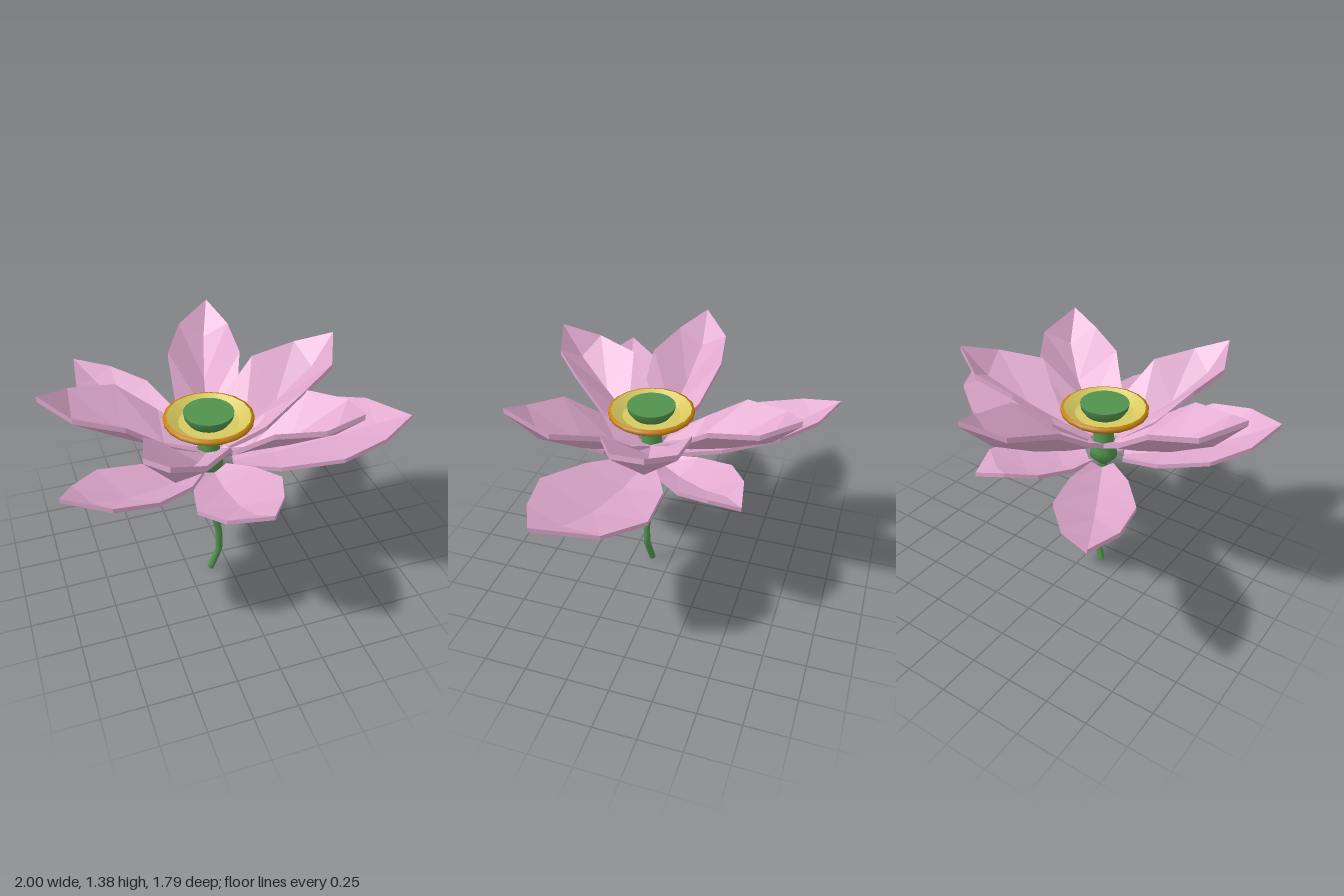
import * as THREE from 'three';

const CX = -0.115, CZ = 0.115; // flower axis

function mat(name, color, flat = false) {
  const m = new THREE.MeshStandardMaterial({ color, flatShading: flat });
  m.name = name;
  return m;
}

// Cross-sections: fraction of length, fraction of half width, edge height, keel height
const UPPER = [
  [0.08, 0.4, 0.95, 0.92],
  [0.28, 0.84, 1.075, 0.97],
  [0.53, 1.0, 1.24, 1.06],
  [0.82, 0.7, 1.29, 1.2],
];
const LOWER = [
  [0.12, 0.3, 0.84, 0.805],
  [0.33, 0.75, 0.89, 0.82],
  [0.62, 1.0, 0.965, 0.88],
  [0.84, 0.66, 1.0, 0.96],
];

// Cupped, keeled petal with a thin rim. lift raises the outer part, roll tips it sideways.
function petalGeometry(sections, thickness, { tip, width, bend = 0, lift = 0, roll = 0 }) {
  const dx = tip[0] - CX, dz = tip[2] - CZ;
  const len = Math.hypot(dx, dz), c = dx / len, s = dz / len;
  const top = [];
  for (const [t, w, edgeY, keelY] of sections) {
    for (const side of [-1, 0, 1]) {
      const across = side * w * width + bend * Math.min(1, t * 2);
      const y = (side ? edgeY : keelY) + lift * t + roll * side * w;
      top.push([CX + c * t * len - s * across, y, CZ + s * t * len + c * across]);
    }
  }
  top.push(tip);
  const n = top.length, last = n - 1;
  const points = [...top, ...top.map(([x, y, z]) => [x, y - thickness, z])];
  const index = [];
  const tri = (a, b, d) => index.push(a, d, b);
  const both = (a, b, d) => { tri(a, b, d); tri(a + n, d + n, b + n); };
  for (let i = 0; i < sections.length - 1; i++) {
    const a = i * 3;
    // diagonals run from the keel outwards
    both(a, a + 1, a + 3);
    both(a + 1, a + 4, a + 3);
    both(a + 1, a + 2, a + 5);
    both(a + 1, a + 5, a + 4);
  }
  both(last - 3, last - 2, last);
  both(last - 2, last - 1, last);
  // rim wall around the outline
  const loop = [];
  for (let i = 0; i < sections.length; i++) loop.push(i * 3);
  loop.push(last);
  for (let i = sections.length - 1; i >= 0; i--) loop.push(i * 3 + 2);
  loop.push(1);
  loop.forEach((a, i) => {
    const b = loop[(i + 1) % loop.length];
    tri(a, b, b + n);
    tri(a, b + n, a + n);
  });
  const g = new THREE.BufferGeometry();
  g.setAttribute('position', new THREE.Float32BufferAttribute(points.flat(), 3));
  g.setIndex(index);
  const flat = g.toNonIndexed();
  flat.computeVertexNormals();
  return flat;
}

export function createModel() {
  const root = new THREE.Group();
  root.name = 'waterFlower';
  const pink = mat('petalPink', 0xdfa8cd, true);
  const green = mat('stemGreen', 0x51924d);
  const yellow = mat('bowlYellow', 0xd6c860);
  const orange = mat('rimOrange', 0xc8820f);
  pink.side = yellow.side = THREE.DoubleSide;

  const add = (parent, name, geometry, material, x = 0, y = 0, z = 0) => {
    const m = new THREE.Mesh(geometry, material);
    m.name = name;
    m.position.set(x, y, z);
    parent.add(m);
  };
  const lathe = (pts, sides = 20) =>
    new THREE.LatheGeometry(pts.map(([r, y]) => new THREE.Vector2(r, y)), sides);
  const petalRing = (name, sections, thickness, petals) => {
    const ring = new THREE.Group();
    ring.name = `${name}s`;
    root.add(ring);
    petals.forEach((p, i) => add(ring, `${name}${i + 1}`, petalGeometry(sections, thickness, p), pink));
  };

  // Upper ring of petals
  petalRing('upperPetal', UPPER, 0.032, [
    { tip: [0.16, 1.37, -0.78], width: 0.21, bend: -0.02 },
    { tip: [0.72, 1.37, -0.13], width: 0.24, bend: 0.01 },
    { tip: [0.5, 1.37, 0.71], width: 0.235, bend: -0.06 },
    { tip: [-0.52, 1.37, 0.82], width: 0.22, bend: 0.02 },
    { tip: [-1, 1.37, 0.03], width: 0.22, bend: 0.03 },
  ]);

  // Lower, flatter ring of petals
  petalRing('lowerPetal', LOWER, 0.026, [
    { tip: [-0.68, 1.04, -0.9], width: 0.21 },
    { tip: [0.31, 0.87, -0.53], width: 0.2, lift: -0.1 },
    { tip: [1, 1.05, 0.37], width: 0.34, bend: -0.07, roll: 0.01 },
    { tip: [-0.03, 1.01, 0.89], width: 0.24, bend: 0.04, lift: -0.03, roll: -0.03 },
    { tip: [-1, 1.1, 0.54], width: 0.26, bend: -0.035, lift: 0.05, roll: -0.04 },
  ]);

  // Bent stem with a closed foot
  const path = new THREE.CatmullRomCurve3([
    [CX, 0, 0.12], [-0.066, 0.155, 0.137], [-0.066, 0.3, 0.137],
    [-0.098, 0.46, 0.13], [CX, 0.61, 0.12], [CX, 0.8, CZ],
  ].map((p) => new THREE.Vector3(...p)), false, 'catmullrom', 0.1);
  add(root, 'stem', new THREE.TubeGeometry(path, 20, 0.021, 10), green);
  add(root, 'stemFoot', new THREE.CircleGeometry(0.021, 10).rotateX(Math.PI / 2), green, CX, 0.002, 0.12);

  // Receptacle and the post carrying the centre
  add(root, 'receptacle', lathe([
    [0, 0.755], [0.03, 0.755], [0.08, 0.805], [0.076, 0.85], [0.062, 0.9], [0.048, 1.06],
  ], 16), green, CX, 0, CZ);

  // Shallow bowl: outside and rim, sloping lining, flat floor
  add(root, 'bowlOuter', lathe([
    [0.04, 1.055], [0.15, 1.06], [0.225, 1.08], [0.25, 1.1], [0.25, 1.12], [0.232, 1.125],
  ]), orange, CX, 0, CZ);
  add(root, 'bowlLining', lathe([[0.234, 1.125], [0.168, 1.085]]), yellow, CX, 0, CZ);
  add(root, 'bowlFloor', new THREE.RingGeometry(0.06, 0.168, 20).rotateX(-Math.PI / 2), yellow, CX, 1.085, CZ);

  // Seed head, a cup with a flat top
  add(root, 'seedHeadSide', lathe([
    [0.07, 1.06], [0.11, 1.085], [0.135, 1.12], [0.14, 1.15],
  ], 24), green, CX, 0, CZ);
  add(root, 'seedHeadTop', new THREE.CircleGeometry(0.14, 24).rotateX(-Math.PI / 2), green, CX, 1.15, CZ);

  return root;
}
